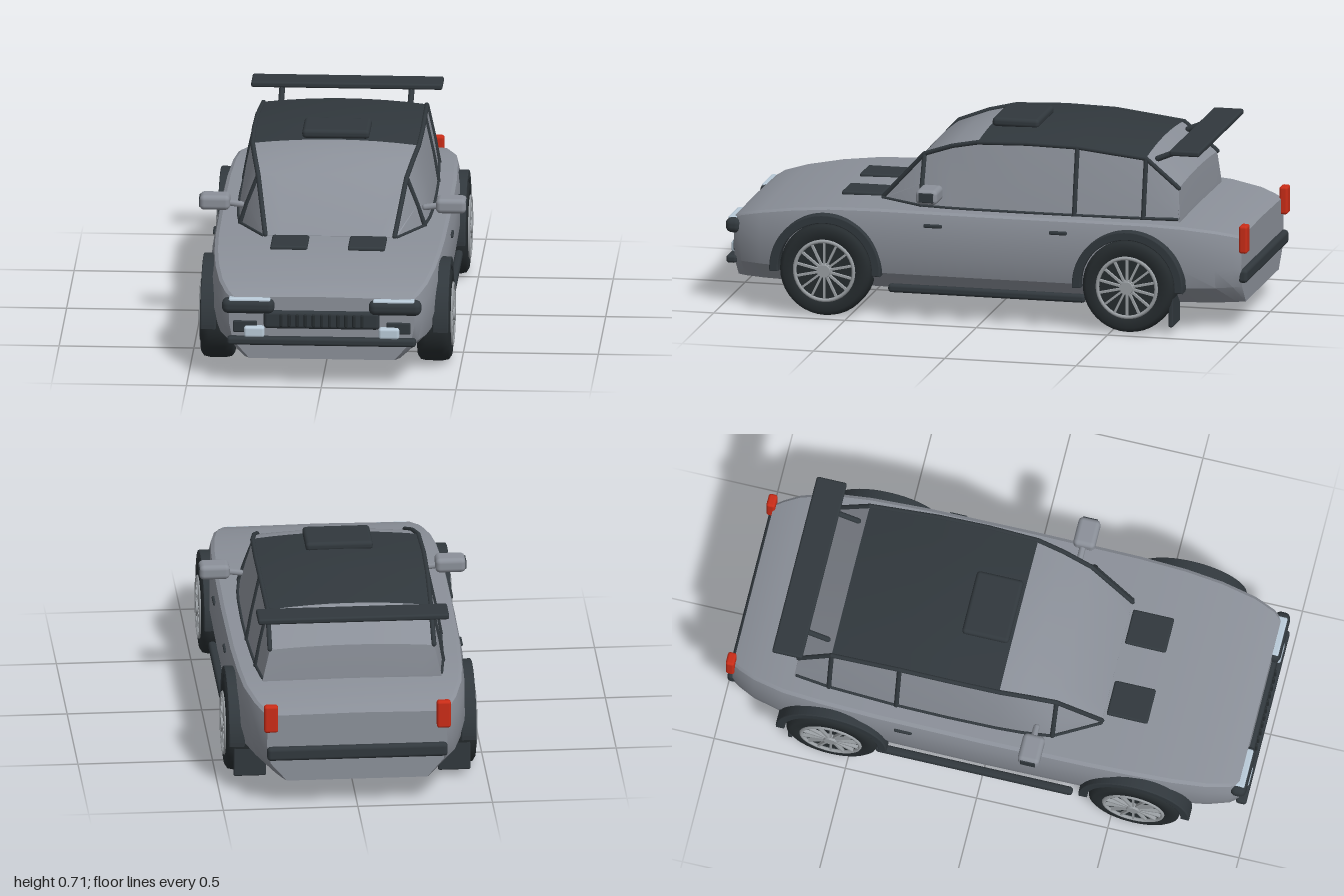
import * as THREE from 'three';
import { toCreasedNormals } from 'three/addons/utils/BufferGeometryUtils.js';
import { RoundedBoxGeometry } from 'three/addons/geometries/RoundedBoxGeometry.js';

const paint = (name, color, opts = {}) => {
  const m = new THREE.MeshStandardMaterial({ color, ...opts });
  m.name = name;
  return m;
};

export function createModel() {
  const car = new THREE.Group();
  car.name = 'car';
  const body = paint('bodyGrey', 0x8b9099);
  const trim = paint('darkTrim', 0x31383d);
  const rubber = paint('tyreRubber', 0x262c2f);
  const metal = paint('wheelMetal', 0x9a9fa3);
  const lamp = paint('lampGlass', 0xb9cad8);
  const red = paint('tailRed', 0xc92c17);

  const add = (name, geo, mat, x = 0, y = 0, z = 0, parent = car) => {
    const m = new THREE.Mesh(geo, mat);
    m.name = name;
    m.position.set(x, y, z);
    parent.add(m);
    return m;
  };
  // rounded block given by its extents
  const block = (name, mat, [x0, x1], [y0, y1], [z0, z1], r = 0.012) => add(name,
    new RoundedBoxGeometry(x1 - x0, y1 - y0, z1 - z0, 3, r), mat,
    (x0 + x1) / 2, (y0 + y1) / 2, (z0 + z1) / 2);
  const pair = (name, mat, [x0, x1], y, z, r) => {
    block(name + 'Left', mat, [x0, x1], y, z, r);
    block(name + 'Right', mat, [-x1, -x0], y, z, r);
  };
  // straight round bar between two points
  const rod = (name, mat, a, b, r) => {
    const p = new THREE.Vector3(...a), q = new THREE.Vector3(...b);
    const d = q.clone().sub(p);
    const m = add(name, new THREE.CapsuleGeometry(r, d.length(), 3, 8), mat);
    m.position.copy(p).add(q).multiplyScalar(0.5);
    m.quaternion.setFromUnitVectors(new THREE.Vector3(0, 1, 0), d.normalize());
  };
  // skin over cross-sections running front to back, each counter-clockwise from the front
  const loft = (rows, closed, crease = 0.5) => {
    const n = rows[0].length, pos = rows.flat(2), idx = [];
    for (let i = 0; i < rows.length - 1; i++) {
      for (let j = 0; j < (closed ? n : n - 1); j++) {
        const a = i * n + j, b = i * n + (j + 1) % n;
        idx.push(a, a + n, b, b, a + n, b + n);
      }
    }
    if (closed) {
      const e = (rows.length - 1) * n;
      for (let j = 1; j < n - 1; j++) idx.push(0, j, j + 1, e, e + j + 1, e + j);
    }
    const g = new THREE.BufferGeometry();
    g.setAttribute('position', new THREE.Float32BufferAttribute(pos, 3));
    g.setIndex(idx);
    return toCreasedNormals(g, crease);
  };
  const mirrorSection = (half) => [...half, ...half.slice().reverse().filter((p) => p[0] > 0).map(([x, y, z]) => [-x, y, z])];

  // lower body: [z, half width, top height]
  const hull = [[0.96, 0.345, 0.335], [0.93, 0.37, 0.352], [0.85, 0.398, 0.372], [0.72, 0.42, 0.393], [0.58, 0.432, 0.407],
    [0.4, 0.439, 0.412], [0, 0.442, 0.412], [-0.4, 0.439, 0.412], [-0.62, 0.43, 0.41], [-0.76, 0.417, 0.402],
    [-0.88, 0.385, 0.385], [-0.94, 0.355, 0.37], [-0.97, 0.335, 0.36]];
  add('bodyShell', loft(hull.map(([z, w, t]) => mirrorSection([
    [0.78 * w, 0.1, z], [0.96 * w, 0.17, z], [w, 0.24, z], [0.995 * w, t - 0.05, z],
    [0.97 * w, t - 0.008, z], [0.94 * w, t, z], [0, t + 0.004, z]])), true), body);

  // cabin: [z, belt half width, roof half width, roof edge height, crown]
  const cabin = [[0.415, 0.25, 0.24, 0.415, 0.002], [0.25, 0.342, 0.275, 0.595, 0.012], [0.14, 0.355, 0.294, 0.635, 0.015],
    [0.04, 0.36, 0.308, 0.657, 0.018], [-0.15, 0.362, 0.312, 0.664, 0.018], [-0.34, 0.36, 0.31, 0.66, 0.018],
    [-0.6, 0.348, 0.303, 0.63, 0.018], [-0.725, 0.333, 0.305, 0.525, 0.012], [-0.735, 0.332, 0.332, 0.412, 0.004]];
  const arc = ([z, , w, t, c], lift = 0) => [1, 0.75, 0.5, 0.25, 0].map((k) => [k * w, t + c * (1 - k * k) + lift, z]);
  add('cabin', loft(cabin.map((s) => mirrorSection([[s[1], 0.4, s[0]],
    [s[1] * 0.6 + s[2] * 0.4, 0.41 + (s[3] - 0.41) * 0.45, s[0]], ...arc(s)])), true), body);
  add('roofPanel', loft(cabin.slice(3, 7).map((s) => mirrorSection(arc(s, 0.005))), false),
    paint('roofDark', 0x31383d, { side: THREE.DoubleSide }));

  // window frames
  for (const s of [1, -1]) {
    const top = cabin.map(([z, , w, t]) => [s * w, t + 0.003, z]);
    const belt = cabin.map(([z, w]) => [s * w, 0.415, z]);
    for (let i = 0; i < 7; i++) {
      rod('roofRail', trim, top[i], top[i + 1], 0.009);
      rod('beltLine', trim, belt[i], belt[i + 1], 0.006);
    }
    for (const i of [1, 5, 6]) {
      const [z, wb, wt, t] = cabin[i];
      const mid = [s * (wb * 0.6 + wt * 0.4), 0.41 + (t - 0.41) * 0.45, z];
      rod('windowPillar', trim, belt[i], mid, 0.009);
      rod('windowPillar', trim, mid, top[i], 0.009);
    }
    // wing strut, mirror stalk
    rod('wingStrut', trim, [s * 0.24, 0.62, -0.63], [s * 0.24, 0.662, -0.73], 0.011);
    rod('mirrorStalk', body, [s * 0.34, 0.468, 0.19], [s * 0.39, 0.475, 0.19], 0.012);
  }
  block('rearWing', trim, [-0.355, 0.355], [0.66, 0.682], [-0.815, -0.7], 0.008);
  block('roofVent', trim, [-0.125, 0.125], [0.678, 0.712], [-0.148, 0.03], 0.014);
  pair('bonnetVent', trim, [0.075, 0.213], [0.405, 0.423], [0.425, 0.582], 0.008);
  pair('mirror', body, [0.382, 0.495], [0.454, 0.51], [0.152, 0.235], 0.018);
  pair('mirrorCap', trim, [0.49, 0.497], [0.464, 0.5], [0.165, 0.222], 0.003);
  pair('frontHandle', trim, [0.434, 0.446], [0.356, 0.37], [0.145, 0.215], 0.005);
  pair('rearHandle', trim, [0.43, 0.444], [0.356, 0.37], [-0.33, -0.262], 0.005);
  pair('sideSkirt', trim, [0.418, 0.448], [0.103, 0.135], [-0.4, 0.35], 0.012);
  pair('mudFlap', trim, [0.32, 0.44], [0.028, 0.2], [-0.735, -0.717], 0.006);

  // nose
  pair('headlamp', trim, [0.175, 0.37], [0.275, 0.332], [0.93, 0.99], 0.024);
  pair('headlampGlass', lamp, [0.19, 0.345], [0.318, 0.335], [0.942, 0.982], 0.007);
  pair('noseIntake', trim, [0.24, 0.33], [0.2, 0.245], [0.95, 0.966], 0.006);
  pair('fogLamp', lamp, [0.212, 0.288], [0.185, 0.227], [0.95, 0.985], 0.01);
  block('grille', trim, [-0.215, 0.215], [0.218, 0.286], [0.945, 0.978], 0.014);
  for (let i = 0; i < 11; i++) {
    const x = (i - 5) * 0.03;
    block('grilleBar', rubber, [x - 0.006, x + 0.006], [0.228, 0.277], [0.97, 0.986], 0.005);
  }
  block('frontBumper', trim, [-0.35, 0.35], [0.157, 0.187], [0.95, 0.99], 0.011);

  // tail
  block('rearBumper', trim, [-0.335, 0.335], [0.185, 0.237], [-0.992, -0.955], 0.014);
  pair('tailLamp', red, [0.295, 0.347], [0.3, 0.406], [-0.995, -0.962], 0.01);

  // wheels and arches, built facing +x
  const tyre = new THREE.LatheGeometry([[0.1, -0.06], [0.155, -0.062], [0.17, -0.052], [0.175, -0.03], [0.175, 0.03],
    [0.17, 0.052], [0.155, 0.062], [0.118, 0.062], [0.112, 0.045]].map((p) => new THREE.Vector2(...p)), 40);
  const disc = new THREE.CylinderGeometry(0.115, 0.115, 0.1, 32);
  const rim = new THREE.TorusGeometry(0.112, 0.007, 8, 40).rotateX(Math.PI / 2);
  const spoke = new THREE.BoxGeometry(0.085, 0.012, 0.008).translate(0.066, 0, 0);
  const hub = new THREE.CylinderGeometry(0.024, 0.028, 0.022, 20);
  const archShape = new THREE.Shape();
  archShape.absarc(0, 0, 0.207, -0.05, Math.PI + 0.05, false);
  archShape.absarc(0, 0, 0.182, Math.PI + 0.05, -0.05, true);
  const arch = new THREE.ExtrudeGeometry(archShape, { depth: 0.05, bevelEnabled: true, bevelSize: 0.004,
    bevelThickness: 0.004, bevelSegments: 2, curveSegments: 28 });
  for (const s of [1, -1]) {
    for (const [end, z] of [['front', 0.588], ['rear', -0.565]]) {
      const wheel = new THREE.Group();
      wheel.name = end + 'Wheel';
      wheel.position.set(s * 0.402, 0.176, z);
      wheel.rotation.z = -s * Math.PI / 2;
      add('tyre', tyre, rubber, 0, 0, 0, wheel);
      add('wheelDisc', disc, rubber, 0, 0, 0, wheel);
      add('rim', rim, metal, 0, 0.062, 0, wheel);
      add('hub', hub, metal, 0, 0.062, 0, wheel);
      for (let i = 0; i < 14; i++) {
        add('spoke', spoke, metal, 0, 0.06, 0, wheel).rotation.y = i * Math.PI / 7;
      }
      car.add(wheel);
      const a = add(end + 'Arch', arch, trim, s * 0.406, 0.176, z);
      a.rotation.y = s * Math.PI / 2;
    }
  }
  return car;
}
